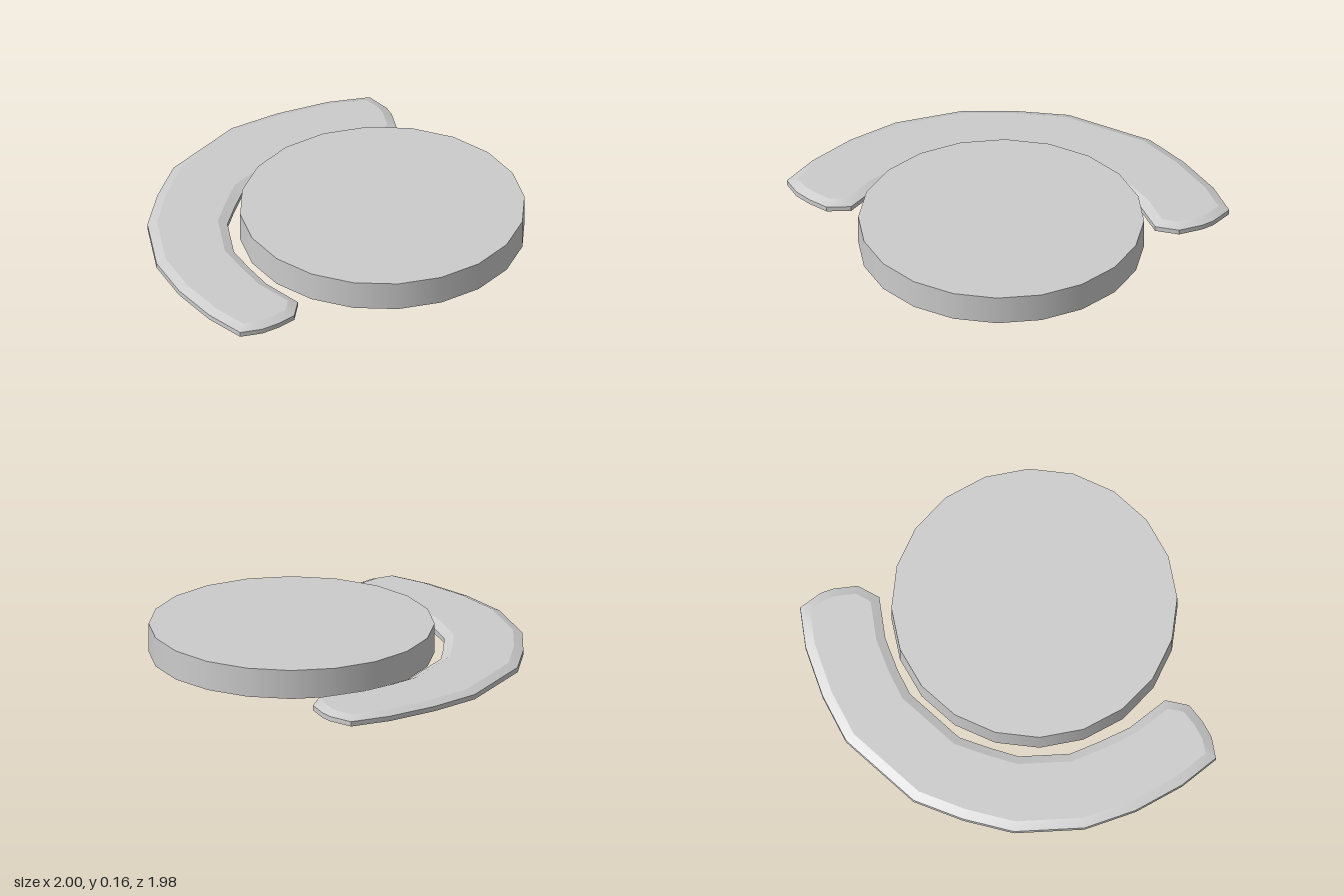
import * as THREE from 'three';
import { mergeGeometries, toCreasedNormals } from 'three/addons/utils/BufferGeometryUtils.js';

// Crescent footprint as [x, z], clockwise seen from above
const OUTLINE = [
  [-0.87, 0.85], [-0.95, 0.63], [-1, 0.35], [-1, 0.06], [-0.89, -0.3], [-0.73, -0.53],
  [-0.54, -0.74], [-0.1, -0.96], [0.18, -0.99], [0.47, -0.98], [0.69, -0.93],
  [0.73, -0.8], [0.73, -0.73], [0.7, -0.6], [0.6, -0.515],
  [0.37, -0.565], [0.18, -0.565], [0.03, -0.55], [-0.29, -0.39], [-0.4, -0.26],
  [-0.5, -0.13], [-0.58, 0.13], [-0.57, 0.3], [-0.55, 0.48], [-0.47, 0.71],
  [-0.54, 0.82], [-0.65, 0.855], [-0.75, 0.87],
];

// Move every corner inward along its mitre
function inset(points, d) {
  const n = points.length;
  const normal = (a, b) => new THREE.Vector2(a[1] - b[1], b[0] - a[0]).normalize();
  return points.map((p, i) => {
    const n1 = normal(points[(i + n - 1) % n], p);
    const n2 = normal(p, points[(i + 1) % n]);
    const k = d / (1 + n1.dot(n2));
    return [p[0] + (n1.x + n2.x) * k, p[1] + (n1.y + n2.y) * k];
  });
}

// Outward-facing strip between two matching rings
function band(low, yLow, high, yHigh) {
  const pos = [];
  low.forEach((p, i) => {
    const j = (i + 1) % low.length;
    const a = [p[0], yLow, p[1]], b = [low[j][0], yLow, low[j][1]];
    const c = [high[i][0], yHigh, high[i][1]], d = [high[j][0], yHigh, high[j][1]];
    pos.push(...b, ...a, ...c, ...b, ...c, ...d);
  });
  const geo = new THREE.BufferGeometry();
  geo.setAttribute('position', new THREE.Float32BufferAttribute(pos, 3));
  return toCreasedNormals(geo, 0.5);
}

// Flat cap, facing up (dir = 1) or down (dir = -1)
function cap(points, y, dir) {
  const shape = new THREE.Shape(points.map(([x, z]) => new THREE.Vector2(x, -dir * z)));
  const geo = new THREE.ShapeGeometry(shape).rotateX(-dir * Math.PI / 2).translate(0, y, 0);
  geo.deleteAttribute('uv');
  return geo.toNonIndexed();
}

export function createModel() {
  const group = new THREE.Group();
  const material = new THREE.MeshStandardMaterial({ color: 0xcccccc });

  // Round twenty-sided disc
  const disc = new THREE.Mesh(new THREE.CylinderGeometry(0.76, 0.76, 0.16, 20), material);
  disc.name = 'disc';
  disc.position.set(0.24, 0.08, 0.23);
  group.add(disc);

  // Low crescent with a bevelled rim, curving round the back right of the disc
  const top = inset(OUTLINE, 0.05);
  const crescent = new THREE.Mesh(mergeGeometries([
    cap(OUTLINE, 0, -1),
    band(OUTLINE, 0, OUTLINE, 0.027),
    band(OUTLINE, 0.027, top, 0.047),
    cap(top, 0.047, 1),
  ]), material);
  crescent.name = 'crescent';
  group.add(crescent);

  return group;
}
